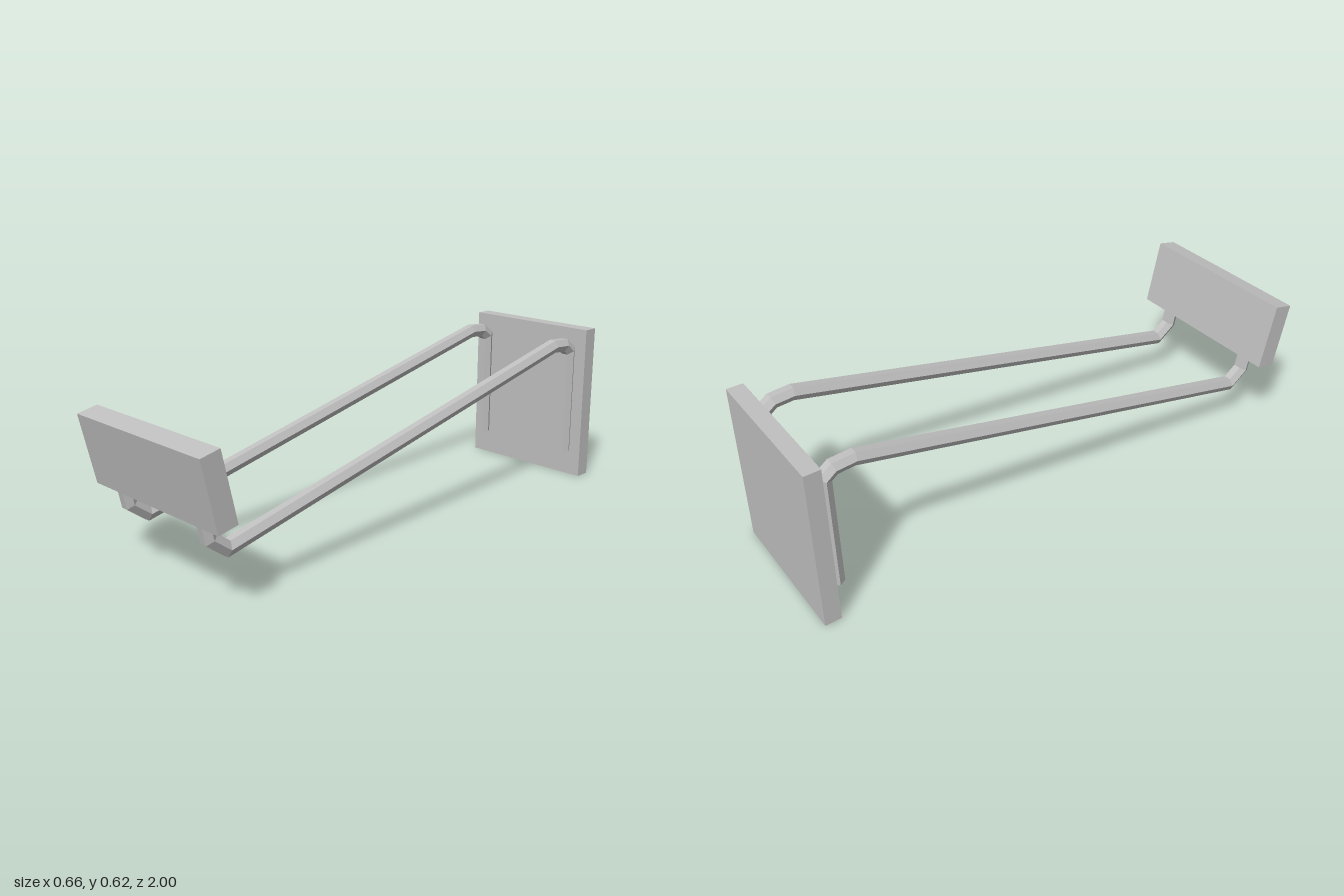
import * as THREE from 'three';

const steel = new THREE.MeshStandardMaterial({ color: 0xc0c0c0, flatShading: true });
steel.name = 'steel grey';

// Hexagonal bar swept along a [z, y] path in the plane x = 0, with mitred bends
function hexBar(path, radius) {
  const pts = path.map(([z, y]) => new THREE.Vector3(0, y, z));
  const dirs = pts.slice(1).map((p, i) => p.clone().sub(pts[i]).normalize());
  const sides = 6, last = pts.length - 1, pos = [], index = [];
  pts.forEach((p, i) => {
    const before = dirs[Math.max(i - 1, 0)], after = dirs[Math.min(i, last - 1)];
    const t = before.clone().add(after).normalize();
    const stretch = 1 / t.dot(after);
    for (let k = 0; k < sides; k++) {
      const a = (k / sides) * Math.PI * 2, n = Math.sin(a) * radius * stretch;
      pos.push(Math.cos(a) * radius, p.y + t.z * n, p.z - t.y * n);
    }
  });
  for (let i = 0; i < last; i++) {
    for (let k = 0; k < sides; k++) {
      const a = i * sides + k, b = i * sides + (k + 1) % sides;
      index.push(a, b, b + sides, a, b + sides, a + sides);
    }
  }
  // End caps
  const end = last * sides;
  for (let k = 1; k < sides - 1; k++) {
    index.push(0, k + 1, k, end, end + k, end + k + 1);
  }
  const geo = new THREE.BufferGeometry();
  geo.setAttribute('position', new THREE.Float32BufferAttribute(pos, 3));
  geo.setIndex(index);
  const flat = geo.toNonIndexed();
  flat.computeVertexNormals();
  return flat;
}

export function createModel() {
  const group = new THREE.Group();
  const add = (name, geometry, x, y, z) => {
    const mesh = new THREE.Mesh(geometry, steel);
    mesh.name = name;
    mesh.position.set(x, y, z);
    group.add(mesh);
    return mesh;
  };

  // Upright mounting plate at the back
  add('backPlate', new THREE.BoxGeometry(0.556, 0.617, 0.06), 0, 0.3085, -0.97);

  // Tilted label plate at the front
  const front = add('frontPlate', new THREE.BoxGeometry(0.656, 0.253, 0.076), 0, 0.421, 0.9355);
  front.rotation.x = 0.212;

  // Pair of bent arms joining the plates
  const arm = hexBar([
    [-0.914, 0.103], [-0.914, 0.53], [-0.877, 0.558], [-0.805, 0.563],
    [0.834, 0.187], [0.898, 0.235], [0.913, 0.31],
  ], 0.028);
  add('leftArm', arm, 0.214, 0, 0);
  add('rightArm', arm, -0.214, 0, 0);

  return group;
}
